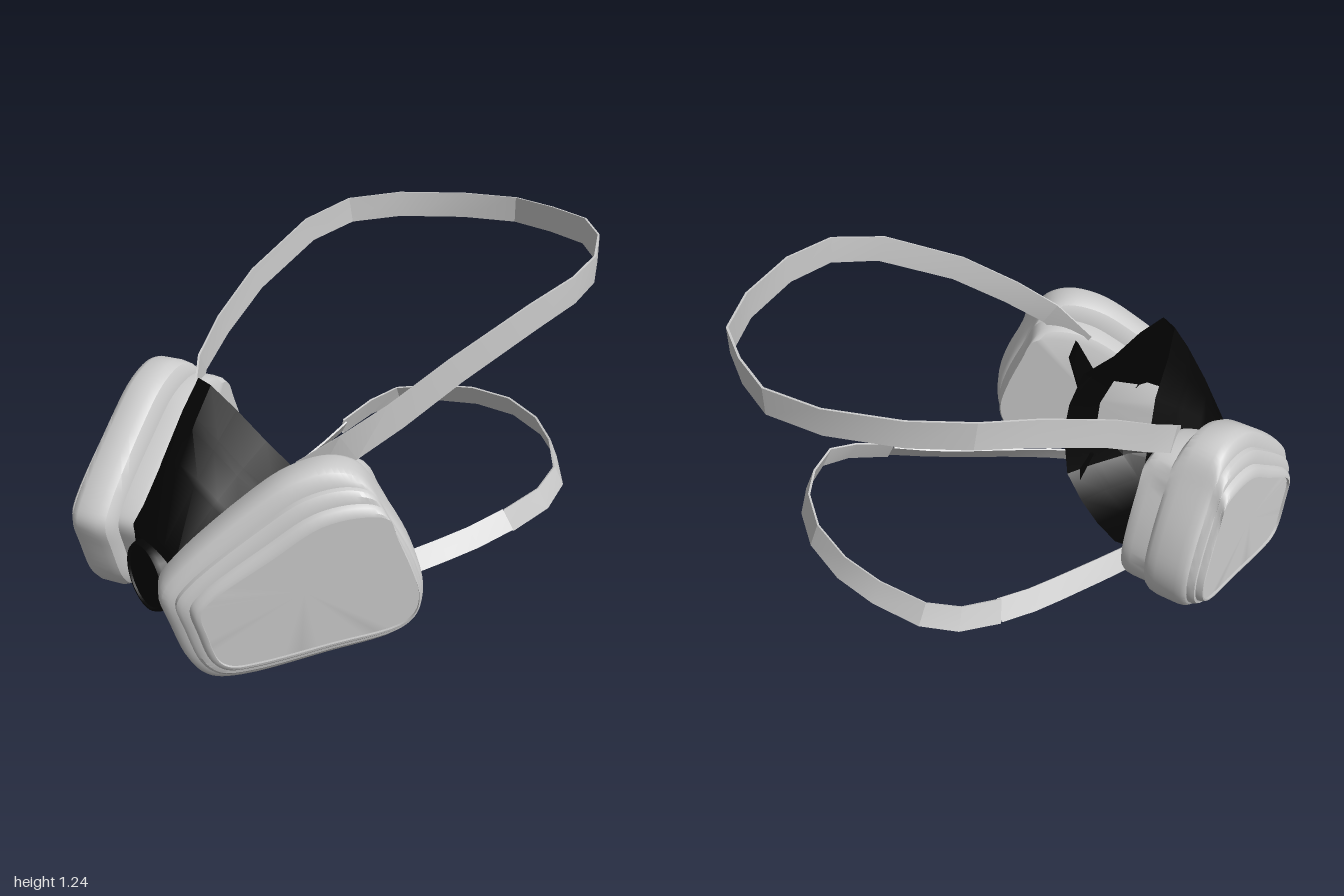
import * as THREE from 'three';
import { toCreasedNormals } from 'three/addons/utils/BufferGeometryUtils.js';

const V = (x, y, z) => new THREE.Vector3(x, y, z);
const grey = new THREE.MeshStandardMaterial({ color: 0xcccccc });
const webbing = new THREE.MeshStandardMaterial({ color: 0xcccccc, side: THREE.DoubleSide });
const rubber = new THREE.MeshStandardMaterial({ color: 0x050505, side: THREE.DoubleSide });

// Skin closed rings of equal length into a surface
function loft(rings, crease, skip = () => false) {
  const n = rings[0].length;
  const pos = rings.flat().flatMap((p) => p.toArray());
  const index = [];
  for (let j = 0; j < rings.length - 1; j++) {
    for (let i = 0; i < n; i++) {
      if (skip(j, i)) continue;
      const a = j * n + i, b = j * n + ((i + 1) % n);
      index.push(a, b, b + n, a, b + n, a + n);
    }
  }
  const g = new THREE.BufferGeometry();
  g.setAttribute('position', new THREE.Float32BufferAttribute(pos, 3));
  g.setIndex(index);
  return toCreasedNormals(g, crease);
}

function add(parent, name, geometry, material) {
  const mesh = new THREE.Mesh(geometry, material);
  mesh.name = name;
  parent.add(mesh);
}

// Cartridge frame: s runs backwards along the plate, t outwards from the mask
const COS = 0.875, SIN = 0.485;
const plate = (side, s, y, t) => V(side * (COS * t + SIN * s), y, SIN * t - COS * s);

// Rounded trapezoids as (z, y) seen from the side, at depth t
const outline = (points, t) => new THREE.CatmullRomCurve3(
  points.map(([z, y]) => V((SIN * t - z) / COS, y, 0)), true).getPoints(80).slice(0, 80);
const rimOutline = outline([
  [0.99, 0.36], [0.955, 0.43], [0.73, 0.66], [0.61, 0.75], [0.5, 0.78], [0.42, 0.75],
  [0.355, 0.65], [0.27, 0.48], [0.235, 0.34], [0.25, 0.23], [0.31, 0.16], [0.52, 0.095],
  [0.77, 0.032], [0.86, 0.04], [0.915, 0.1], [0.965, 0.25]], 0.72);
const faceOutline = outline([
  [0.93, 0.33], [0.91, 0.37], [0.73, 0.515], [0.59, 0.62], [0.47, 0.645], [0.405, 0.63],
  [0.38, 0.56], [0.335, 0.43], [0.315, 0.345], [0.325, 0.28], [0.37, 0.235], [0.56, 0.185],
  [0.78, 0.13], [0.85, 0.125], [0.885, 0.15], [0.915, 0.25]], 0.833);

// Stepped layers from back to front: blend from rim to face outline, t, scale
const layers = [
  [0.75, 0.51, 0], [0.75, 0.51], [0.55, 0.525], [0.5, 0.55], [0.5, 0.61], [0.3, 0.615],
  [0.1, 0.63], [0, 0.66], [0, 0.74], [0.08, 0.765], [0.25, 0.78], [0.4, 0.784], [0.43, 0.8],
  [0.55, 0.812], [0.74, 0.815], [0.8, 0.83], [0.9, 0.84], [1, 0.842], [1, 0.832], [1, 0.832, 0],
];

function cartridge(side) {
  const centre = V(-0.27, 0.385, 0);
  const rings = layers.map(([f, t, scale = 1]) => rimOutline.map((p, i) => {
    const q = p.clone().lerp(faceOutline[i], f);
    q.lerpVectors(centre, q.clone(), scale);
    return plate(side, q.x, q.y, t);
  }));
  if (side > 0) rings.reverse();
  return loft(rings, 0.6);
}

// Half sections of the face piece from the open back rim to the front
const sections = [
  [[0, 0.905, 0.62], [0.04, 0.905, 0.62], [0.1, 0.82, 0.56], [0.155, 0.7, 0.48], [0.25, 0.58, 0.4],
    [0.285, 0.42, 0.36], [0.29, 0.28, 0.34], [0.25, 0.09, 0.34], [0.14, 0.02, 0.35], [0, 0.003, 0.35]],
  [[0, 0.8, 0.69], [0.045, 0.8, 0.685], [0.105, 0.73, 0.64], [0.16, 0.63, 0.58], [0.235, 0.53, 0.5],
    [0.275, 0.4, 0.46], [0.28, 0.28, 0.45], [0.245, 0.1, 0.45], [0.14, 0.035, 0.46], [0, 0.02, 0.47]],
  [[0, 0.64, 0.78], [0.05, 0.63, 0.775], [0.11, 0.59, 0.745], [0.17, 0.53, 0.71], [0.22, 0.46, 0.67],
    [0.25, 0.37, 0.64], [0.25, 0.26, 0.63], [0.22, 0.12, 0.62], [0.13, 0.05, 0.62], [0, 0.04, 0.63]],
  [[0, 0.42, 0.88], [0.05, 0.42, 0.875], [0.1, 0.4, 0.865], [0.15, 0.37, 0.85], [0.18, 0.31, 0.84],
    [0.19, 0.25, 0.83], [0.18, 0.18, 0.82], [0.145, 0.12, 0.8], [0.08, 0.09, 0.79], [0, 0.08, 0.79]],
  Array(10).fill([0, 0.24, 0.87]),
];

function facePiece() {
  const rings = sections.map((half) => [
    ...half.map((p) => V(...p)),
    ...half.slice(1, -1).reverse().map(([x, y, z]) => V(-x, y, z)),
  ]);
  // Two extra sections frame an open inlet on each cheek
  const between = (f) => rings[1].map((p, i) => p.clone().lerp(rings[2][i], f));
  rings.splice(2, 0, between(0.2), between(0.85));
  return loft(rings, 0.7, (j, i) => j === 2 && [4, 5, 12, 13].includes(i));
}

// Flat band along a path; lean tips its upper edge inwards
function strap(path, width, lean) {
  const rings = path.map((p, i) => {
    const a = path[Math.max(i - 1, 0)], b = path[Math.min(i + 1, path.length - 1)];
    const tangent = b.clone().sub(a).normalize();
    const inward = V(-p.x, 0, -0.3 - p.z).normalize();
    const up = V(0, 1, 0).addScaledVector(inward, lean);
    up.addScaledVector(tangent, -up.dot(tangent)).normalize();
    const out = tangent.clone().cross(up).multiplyScalar(0.004);
    up.multiplyScalar(width / 2);
    return [[1, 1], [1, -1], [-1, -1], [-1, 1]].map(([u, o]) =>
      p.clone().addScaledVector(up, u).addScaledVector(out, o));
  });
  return loft(rings, 0.3);
}

const mirrored = (pts) => [
  ...pts.map((p) => V(...p)),
  ...pts.slice(0, -1).reverse().map(([x, y, z]) => V(-x, y, z)),
];

// Four-cornered anchor tab
function tab(side, corners) {
  const ring = (dx) => corners.map(([x, y, z]) => V(side * (x + dx), y, z));
  const c = corners.reduce((s, p) => s.add(V(...p)), V(0, 0, 0)).multiplyScalar(0.25);
  const cap = (dx) => corners.map(() => V(side * (c.x + dx), c.y, c.z));
  return loft([cap(-0.01), ring(-0.01), ring(0.01), cap(0.01)], 0.3);
}

export function createModel() {
  const model = new THREE.Group();

  add(model, 'facePiece', facePiece(), rubber);

  // Exhalation valve with a slightly raised rim
  const valve = new THREE.LatheGeometry(
    [[0, 0.893], [0.112, 0.893], [0.115, 0.9], [0.122, 0.9], [0.13, 0.885], [0.14, 0.76]]
      .map(([r, h]) => new THREE.Vector2(r, h)), 32);
  valve.rotateX(Math.PI / 2).translate(0, 0.24, 0);
  add(model, 'exhalationValve', toCreasedNormals(valve, 0.5), rubber);

  for (const side of [1, -1]) {
    const label = side > 0 ? 'left' : 'right';
    add(model, label + 'FilterCartridge', cartridge(side), grey);
    add(model, label + 'UpperTab', tab(side,
      [[0.25, 0.58, 0.45], [0.345, 0.675, 0.42], [0.345, 0.6, 0.39], [0.265, 0.5, 0.39]]), rubber);
    add(model, label + 'LowerTab', tab(side,
      [[0.25, 0.16, 0.46], [0.32, 0.15, 0.41], [0.32, 0.08, 0.4], [0.22, 0.07, 0.38]]), rubber);

    // Front length of the neck strap
    add(model, label + 'NeckStrapFront', strap(
      [[0.325, 0.115, 0.41], [0.35, 0.145, 0.3], [0.395, 0.175, 0.13], [0.445, 0.21, -0.08],
        [0.475, 0.235, -0.2], [0.505, 0.275, -0.34]]
        .map(([x, y, z]) => V(side * x, y, z)), 0.085, 0.75), webbing);
  }

  add(model, 'headStrap', strap(mirrored([
    [0.35, 0.65, 0.46], [0.46, 0.76, 0.36], [0.53, 0.86, 0.22], [0.59, 0.99, 0.02],
    [0.638, 1.125, -0.27], [0.628, 1.175, -0.47], [0.54, 1.188, -0.66], [0.37, 1.188, -0.86],
    [0.19, 1.188, -0.98], [0, 1.188, -0.996],
  ]), 0.1, 0), webbing);

  add(model, 'neckStrapBack', strap(mirrored([
    [0.51, 0.275, -0.34], [0.522, 0.32, -0.5], [0.48, 0.36, -0.62], [0.34, 0.39, -0.73],
    [0.19, 0.41, -0.8], [0, 0.42, -0.83],
  ]), 0.09, 0.4), webbing);

  return model;
}
